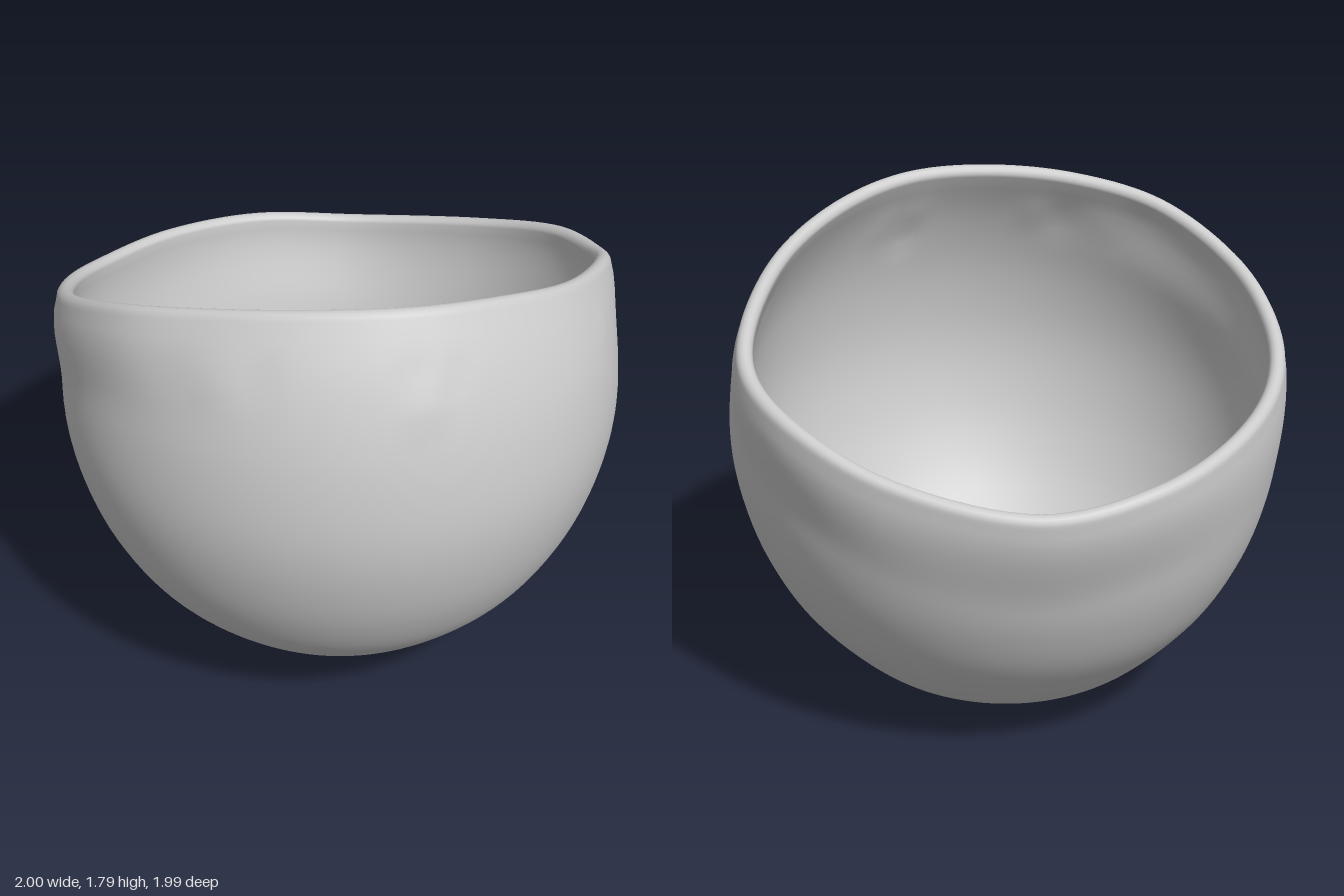
import * as THREE from 'three';
import { mergeVertices } from 'three/addons/utils/BufferGeometryUtils.js';

const V = (x, y, z) => new THREE.Vector3(x, y, z);
const COLUMNS = 144, RINGS = 48, LIP = 8, WALL = 0.06;

// Uneven, tilted rim, high at the front and low at the back
const rim = new THREE.CatmullRomCurve3([
  [-0.92, 1.52, 0.31], [-0.67, 1.68, 0.6], [-0.35, 1.76, 0.73], [0, 1.795, 0.765],
  [0.3, 1.79, 0.715], [0.56, 1.74, 0.56], [0.8, 1.635, 0.29], [0.94, 1.49, -0.12],
  [0.935, 1.4, -0.34], [0.8, 1.32, -0.61], [0.5, 1.2, -0.85], [0, 1.11, -0.995],
  [-0.4, 1.15, -0.91], [-0.72, 1.21, -0.66], [-0.93, 1.28, -0.32], [-0.99, 1.38, -0.02],
].map((p) => V(...p)), true);
const rimCentre = V(-0.02, 1.44, -0.12);
const rimNormal = V(-0.05, 0.94, -0.33).normalize();

// Radius of the round body at each height
const profile = [[0, 0], [0.03, 0.24], [0.1, 0.43], [0.2, 0.59], [0.4, 0.78], [0.6, 0.895],
  [0.8, 0.962], [1, 0.992], [1.2, 0.982], [1.4, 0.94], [1.6, 0.86], [1.8, 0.74]];
const profileCurve = new THREE.SplineCurve(profile.map(([y, r]) => new THREE.Vector2(r, y)));
const samples = profileCurve.getPoints(330);
function radiusAt(y) {
  const k = samples.findIndex((p) => p.y >= y);
  if (k < 0) return 0.74;
  if (k === 0) return 0;
  const a = samples[k - 1], b = samples[k];
  return a.x + (b.x - a.x) * (y - a.y) / (b.y - a.y);
}

// Small surface marks: position, size, height (negative is a dent)
const marks = [
  [V(-0.2, 1.6, 0.84), 0.05, -0.012], [V(-0.32, 1.55, 0.82), 0.06, 0.01],
  [V(-0.48, 1.57, 0.72), 0.07, -0.01], [V(0.28, 1.62, 0.81), 0.05, -0.012],
  [V(0.33, 1.5, 0.83), 0.06, 0.012], [V(0.42, 1.58, 0.75), 0.05, -0.01],
  [V(0.9, 1.43, 0.2), 0.03, 0.015],
];

// Outer wall point under a rim point; f runs from the bottom (0) to the rim (1)
function outerPoint(p, f) {
  const top = p.y - 0.03;
  const y = top * (1 - Math.cos(f * Math.PI / 2));
  const rimRadius = Math.hypot(p.x, p.z);
  const dx = p.x / rimRadius, dz = p.z / rimRadius;
  const shape = 1 - 0.05 * Math.max(0, -dz);
  const w = THREE.MathUtils.smoothstep(y, top - 0.35, top);
  const r = radiusAt(y) * shape + (rimRadius - radiusAt(top) * shape) * w;
  const q = V(dx * r, y, dz * r);
  const out = q.clone().sub(V(0, 1, 0)).normalize();
  let push = 0;
  for (const [c, size, h] of marks) push += h * Math.exp(-c.distanceToSquared(q) / (size * size));
  return q.addScaledVector(out, push * (1 - w * w));
}

// Inner wall: the outer wall moved inward by the wall thickness
function innerPoint(p, f) {
  const o = outerPoint(p, f);
  const centre = V(0, 1, 0).lerp(rimCentre, f ** 4);
  return o.addScaledVector(centre.sub(o).normalize(), WALL);
}

export function createModel() {
  const positions = [], index = [];
  const rows = 2 * (RINGS + 1) + LIP - 1;
  for (let i = 0; i < COLUMNS; i++) {
    const p = rim.getPoint(i / COLUMNS);
    const column = [];
    for (let j = 0; j <= RINGS; j++) column.push(outerPoint(p, j / RINGS));
    // Rounded lip from the outer to the inner wall
    const o = outerPoint(p, 1), n = innerPoint(p, 1);
    for (let k = 1; k < LIP; k++) {
      const a = Math.PI * k / LIP;
      column.push(o.clone().lerp(n, (1 - Math.cos(a)) / 2)
        .addScaledVector(rimNormal, 0.032 * Math.sin(a)));
    }
    for (let j = RINGS; j >= 0; j--) column.push(innerPoint(p, j / RINGS));
    column.forEach((v) => positions.push(v.x, v.y, v.z));

    const next = (i + 1) % COLUMNS;
    for (let j = 0; j < rows - 1; j++) {
      const a = i * rows + j, b = next * rows + j;
      if (j > 0) index.push(a, b, b + 1);
      if (j < rows - 2 || j === 0) index.push(a, b + 1, a + 1);
    }
  }
  let geometry = new THREE.BufferGeometry();
  geometry.setAttribute('position', new THREE.Float32BufferAttribute(positions, 3));
  geometry.setIndex(index);
  geometry = mergeVertices(geometry, 1e-5);
  geometry.computeVertexNormals();

  const bowl = new THREE.Mesh(geometry, new THREE.MeshStandardMaterial({ color: 0xcccccc }));
  bowl.name = 'bowl';
  const group = new THREE.Group();
  group.name = 'roundBowl';
  group.add(bowl);
  return group;
}
